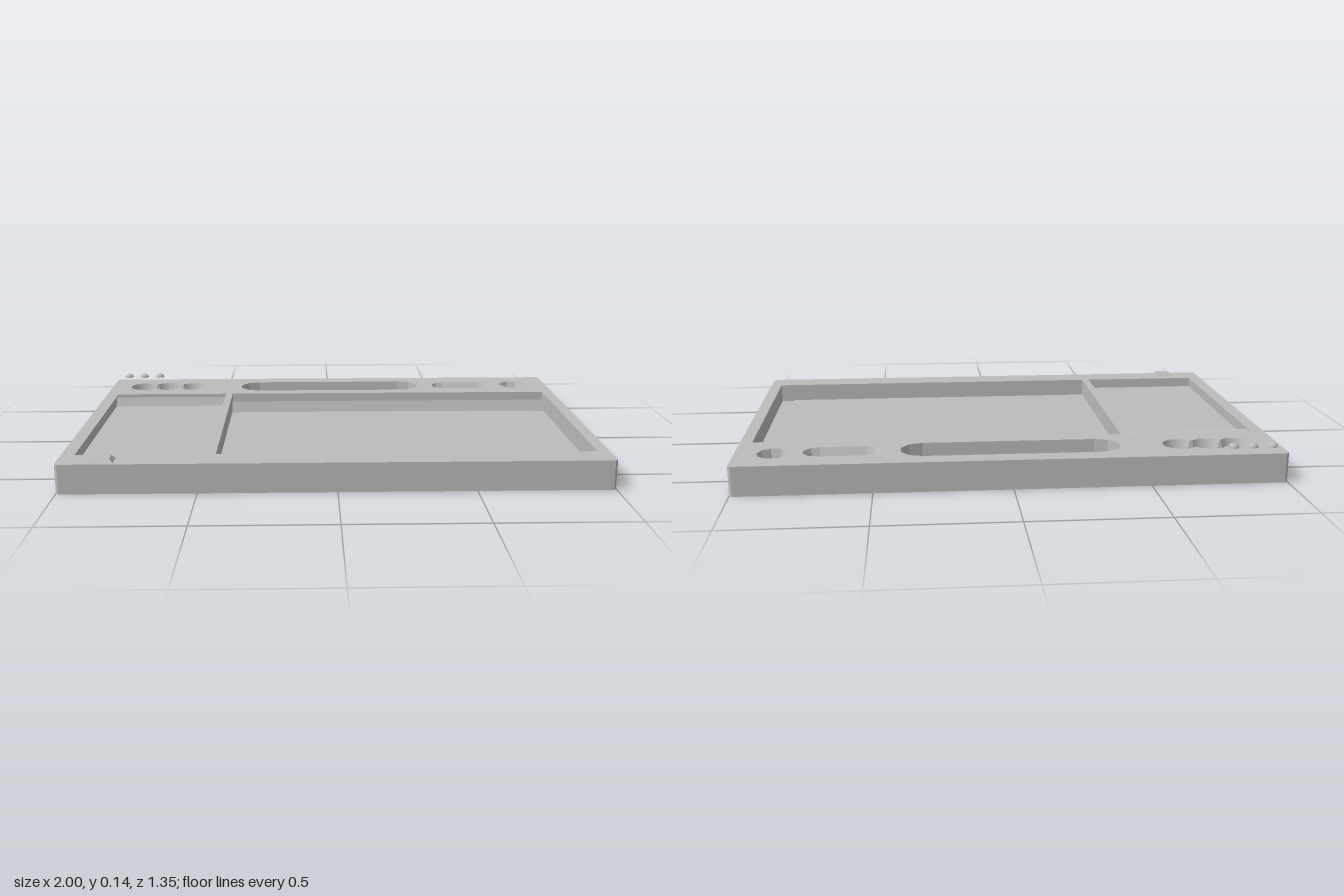
import * as THREE from 'three';

// Plan points are [x, y] with y pointing to the back (z = -y), counter-clockwise from above.
const TOP = 0.11;
const gray = new THREE.MeshStandardMaterial({ color: 0xbcbcbc });
gray.name = 'gray';

const rect = (x0, x1, y0, y1) => [[x0, y0], [x1, y0], [x1, y1], [x0, y1]];

function circle(cx, cy, r, n = 10) {
  return Array.from({ length: n }, (_, i) => {
    const a = (i / n) * Math.PI * 2;
    return [cx + r * Math.cos(a), cy + r * Math.sin(a)];
  });
}

function stadium(cx, cy, hx, hy, n = 5) {
  const pts = [];
  for (const side of [1, -1]) {
    for (let i = 0; i <= n; i++) {
      const a = -Math.PI / 2 + (i / n) * Math.PI;
      pts.push([cx + side * (hx - hy + hy * Math.cos(a)), cy + side * hy * Math.sin(a)]);
    }
  }
  return pts;
}

// Joined outline of a row of overlapping circles, shrunk about each centre
function joinedCircles(cups, shrink) {
  const upper = [], lower = [];
  cups.forEach(([cx, cy, r], k) => {
    for (let i = 0; i < 16; i++) {
      const a = Math.PI - ((i + 0.5) / 16) * Math.PI;
      const x = cx + r * Math.cos(a), h = r * Math.sin(a);
      if (cups.some(([ox, , or], j) => j !== k && Math.hypot(x - ox, h) < or)) continue;
      const px = cx + (x - cx) * shrink;
      upper.push([px, cy + h * shrink]);
      lower.push([px, cy - h * shrink]);
    }
  });
  return [...lower, ...upper.reverse()];
}

const toShape = (pts) => new THREE.Shape(pts.map((p) => new THREE.Vector2(...p)));

function flat(name, pts, y, holes = []) {
  const shape = toShape(pts);
  shape.holes = holes.map(toShape);
  const geo = new THREE.ShapeGeometry(shape).rotateX(-Math.PI / 2).translate(0, y, 0);
  const mesh = new THREE.Mesh(geo, gray);
  mesh.name = name;
  return mesh;
}

// Wall between two outlines: faces outward going up, inward going down
function wall(name, a, ya, b, yb) {
  const pos = [];
  a.forEach((_, i) => {
    const j = (i + 1) % a.length;
    const v = (p, y) => [p[0], y, -p[1]];
    pos.push(...v(a[i], ya), ...v(a[j], ya), ...v(b[j], yb));
    pos.push(...v(a[i], ya), ...v(b[j], yb), ...v(b[i], yb));
  });
  const geo = new THREE.BufferGeometry();
  geo.setAttribute('position', new THREE.Float32BufferAttribute(pos, 3));
  geo.computeVertexNormals();
  const mesh = new THREE.Mesh(geo, gray);
  mesh.name = name;
  return mesh;
}

// Ledge at the back of a compartment: gently rising top, steep front
function ledge(name, x0, x1, floor, yBack, yFront) {
  const s = new THREE.Shape();
  s.moveTo(0.375, floor);
  s.lineTo(0.375, yBack);
  s.lineTo(0.355, yBack + (yFront - yBack) * 0.25);
  s.lineTo(0.33, yFront);
  s.lineTo(0.316, floor);
  const geo = new THREE.ExtrudeGeometry(s, { depth: x1 - x0, bevelEnabled: false });
  geo.rotateY(Math.PI / 2).translate(x0, 0, 0);
  const mesh = new THREE.Mesh(geo, gray);
  mesh.name = name;
  return mesh;
}

export function createModel() {
  const model = new THREE.Group();
  model.name = 'organizerTray';

  // Recesses: outline at the top, outline at the floor, floor height
  const cups = [[-0.85, 0.525, 0.065], [-0.743, 0.527, 0.068], [-0.632, 0.525, 0.063]];
  const small = rect(-0.95, -0.47, -0.56, 0.375);
  const large = rect(-0.44, 0.955, -0.56, 0.375);
  const oval = stadium(-0.003, 0.517, 0.407, 0.083);
  const recesses = [
    ['smallCompartment', small, small, 0.07],
    ['largeCompartment', large, large, 0.035],
    ['penSlot', oval, oval, 0.05],
    ['shortSlot', stadium(0.613, 0.517, 0.143, 0.058), stadium(0.613, 0.517, 0.118, 0.034), 0.06],
    ['roundCup', circle(0.855, 0.525, 0.065), circle(0.855, 0.525, 0.047), 0.06],
    ['tripleCup', joinedCircles(cups, 1), joinedCircles(cups, 0.78), 0.06],
  ];

  // Body shell with slightly cut corners
  const c = 0.01, X = 1, Z = 0.675;
  const body = [[-X + c, -Z], [X - c, -Z], [X, -Z + c], [X, Z - c],
    [X - c, Z], [-X + c, Z], [-X, Z - c], [-X, -Z + c]];
  const base = flat('base', body, 0);
  base.rotation.x = Math.PI;
  model.add(base, wall('outerWall', body, 0, body, TOP));
  model.add(flat('topSurface', body, TOP, recesses.map((r) => r[1])));

  for (const [name, rim, bottom, y] of recesses) {
    const group = new THREE.Group();
    group.name = name;
    group.add(wall(name + 'Wall', rim, TOP, bottom, y), flat(name + 'Floor', bottom, y));
    model.add(group);
  }

  model.add(ledge('smallLedge', -0.95, -0.47, 0.07, 0.095, 0.107));
  model.add(ledge('largeLedge', -0.44, 0.955, 0.035, 0.07, 0.085));

  // Slightly raised main floor, leaving a strip at one end
  const panel = new THREE.Mesh(new THREE.BoxGeometry(1.34, 0.004, 0.876), gray);
  panel.name = 'floorPanel';
  panel.position.set(0.23, 0.037, 0.122);
  model.add(panel);

  // Small domes hovering above the back corner
  for (const x of [-0.943, -0.872, -0.8]) {
    const dome = new THREE.Group();
    dome.name = 'dome';
    const cap = new THREE.Mesh(
      new THREE.SphereGeometry(0.02, 12, 4, 0, Math.PI * 2, 0, Math.PI / 2).scale(1, 0.8, 1), gray);
    cap.name = 'domeCap';
    const under = new THREE.Mesh(new THREE.CircleGeometry(0.02, 12).rotateX(Math.PI / 2), gray);
    under.name = 'domeUnderside';
    dome.add(cap, under);
    dome.position.set(x, 0.129, -0.645);
    model.add(dome);
  }

  // Front latch with bevelled sides
  const latchBase = rect(-0.885, -0.795, -0.665, -0.597);
  const latchTop = rect(-0.87, -0.808, -0.65, -0.61);
  const latch = new THREE.Group();
  latch.name = 'latch';
  latch.add(wall('latchSides', latchBase, TOP, latchTop, 0.125), flat('latchTop', latchTop, 0.125));
  model.add(latch);

  return model;
}
